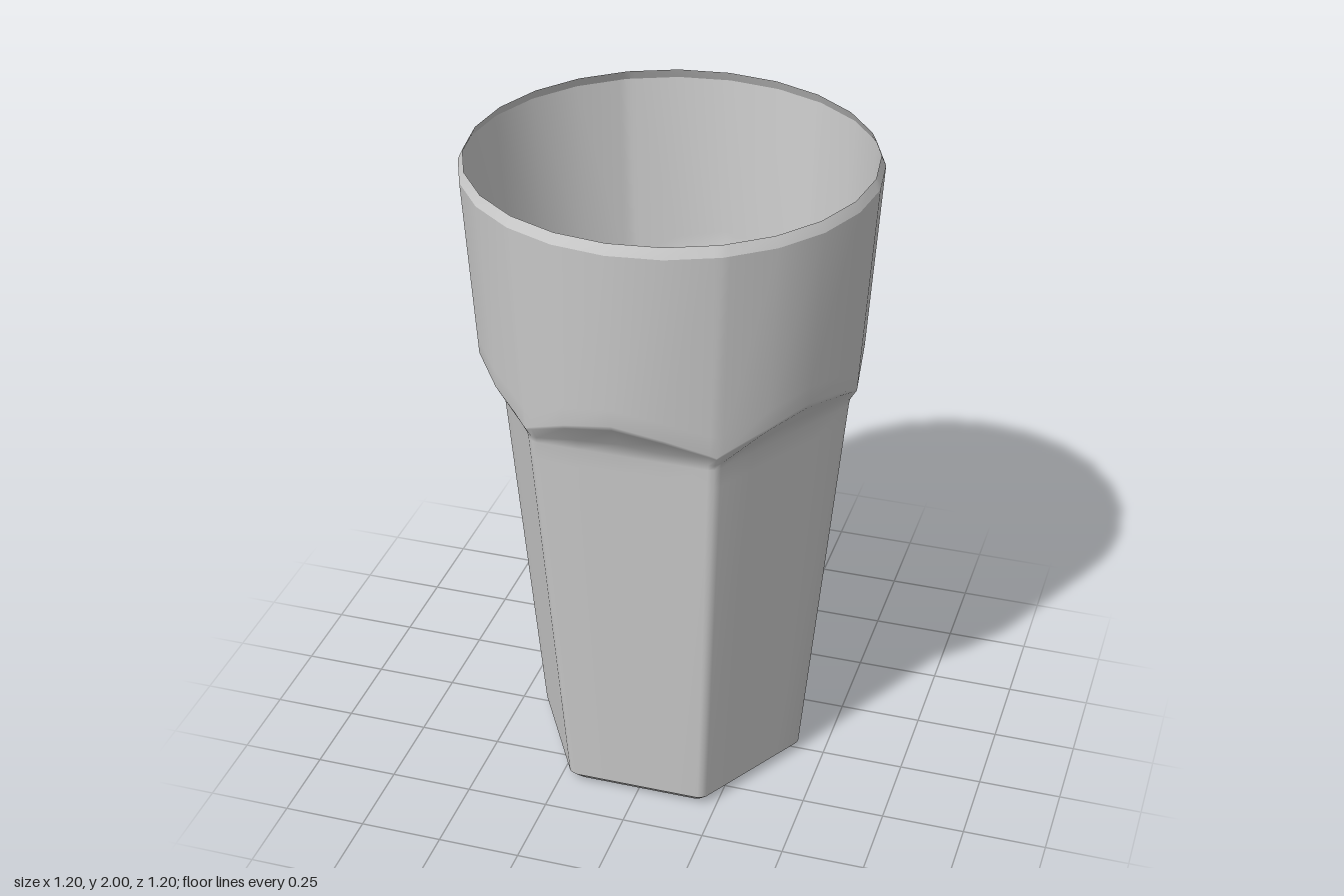
import * as THREE from 'three';

const RAD = Math.PI / 180;
// Angles around one sixth of the body: closely spaced at the corner to round it.
const STEPS = [0, 2, 15, 30, 45, 58];
const ANGLES = [];
for (let k = 0; k < 6; k++) for (const s of STEPS) ANGLES.push(k * 60 + s);

// Radius of a hexagon (corners on x) with slightly softened corners.
function hexRadius(deg, apothem) {
  const off = (deg % 60) - 30;
  const r = apothem / Math.cos(off * RAD);
  return Math.abs(off) === 30 ? r * 0.986 : r;
}

// Radius of a 24-sided circle.
function roundRadius(deg, radius) {
  return radius * Math.cos(7.5 * RAD) / Math.cos(((deg % 15) - 7.5) * RAD);
}

// Cross-sections: each returns [radius, height] at an angle.
const hex = (apothem, y) => (d) => [hexRadius(d, apothem), y];
const round = (radius, y) => (d) => [roundRadius(d, radius), y];
const scallop = (d) => {
  const u = Math.abs((d % 60) - 30) / 30;
  const y = 1.43 - 0.1 * Math.pow(u, 1.6);
  return [roundRadius(d, 0.6 - 0.065 * (1.97 - y)), y];
};
const blend = (a, b, tr, ty) => (d) => {
  const [r0, y0] = a(d), [r1, y1] = b(d);
  return [r0 + (r1 - r0) * tr, y0 + (y1 - y0) * ty];
};

const material = new THREE.MeshStandardMaterial({ color: 0xcccccc, side: THREE.DoubleSide });

// Skin a list of cross-sections into a smooth mesh.
function skin(name, rings) {
  const pos = [], index = [], n = ANGLES.length;
  for (const ring of rings) {
    for (const d of ANGLES) {
      const [r, y] = ring(d);
      pos.push(r * Math.cos(d * RAD), y, r * Math.sin(d * RAD));
    }
  }
  for (let j = 0; j < rings.length - 1; j++) {
    for (let i = 0; i < n; i++) {
      const a = j * n + i, c = j * n + (i + 1) % n;
      index.push(a, a + n, c, c, a + n, c + n);
    }
  }
  const g = new THREE.BufferGeometry();
  g.setAttribute('position', new THREE.Float32BufferAttribute(pos, 3));
  g.setIndex(index);
  g.computeVertexNormals();
  const mesh = new THREE.Mesh(g, material);
  mesh.name = name;
  return mesh;
}

export function createModel() {
  const group = new THREE.Group();
  group.name = 'drinkingGlass';

  const foot = hex(0.338, 0);
  const bodyBottom = hex(0.367, 0.03);
  const bodyTop = hex(0.471, 1.28);
  const lip = round(0.6, 1.97);

  // Flat base and its bevelled edge
  group.add(skin('base', [() => [0, 0], foot]));
  group.add(skin('baseBevel', [foot, bodyBottom]));

  // Six-sided body flowing through a scalloped shoulder into the round cup
  group.add(skin('wall', [
    bodyBottom,
    blend(bodyBottom, bodyTop, 0.95, 0.95),
    bodyTop,
    blend(bodyTop, scallop, 0.13, 0.3),
    blend(bodyTop, scallop, 0.9, 0.88),
    scallop,
    blend(scallop, lip, 0.1, 0.1),
    lip,
  ]));

  // Bevelled rim turned slightly inward
  group.add(skin('rim', [lip, round(0.586, 2)]));

  return group;
}
